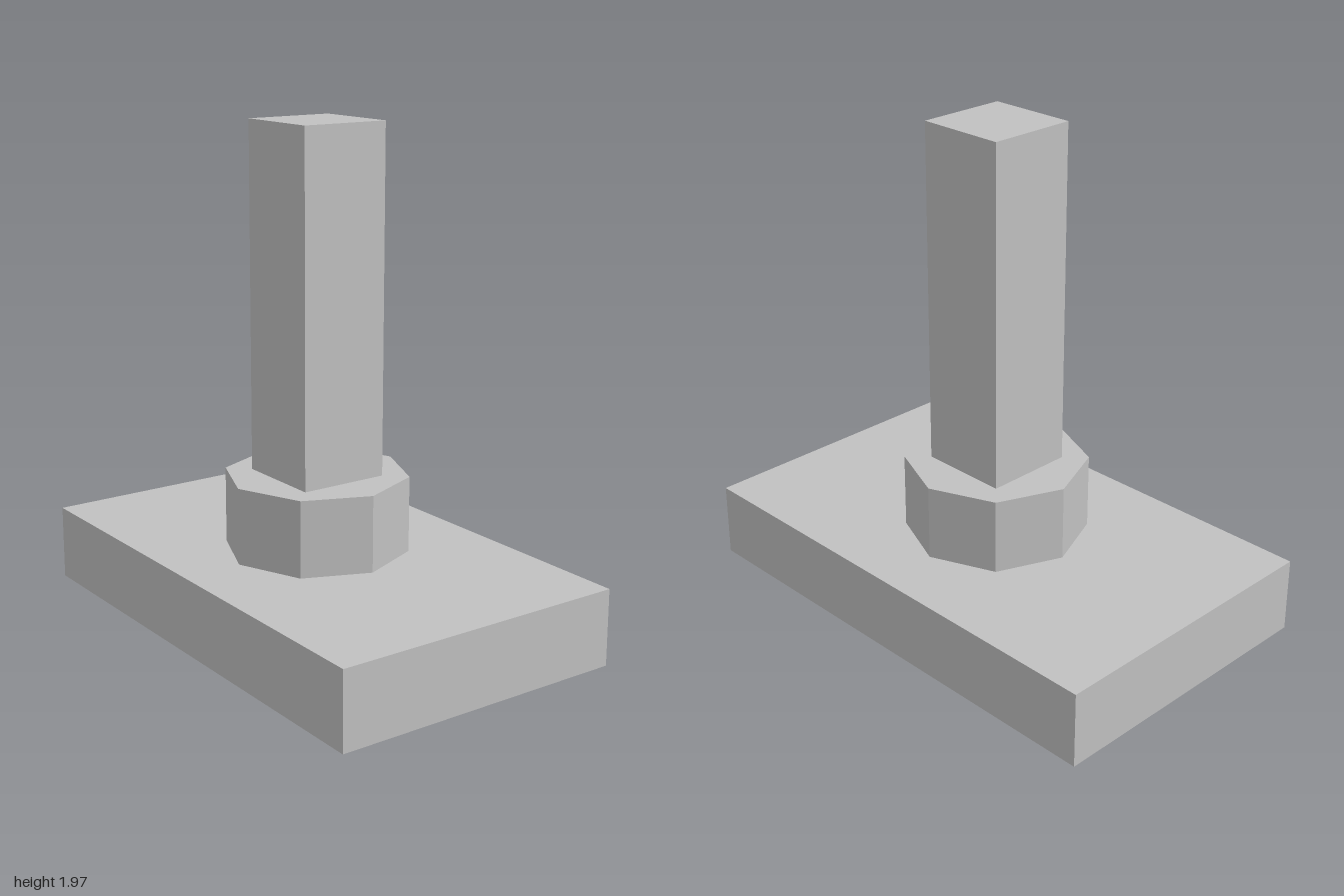
import * as THREE from 'three';

export function createModel() {
  const group = new THREE.Group();
  const grey = new THREE.MeshStandardMaterial({ color: 0xc0c0c0, flatShading: true });
  grey.name = 'grey';

  // Adds a part centred on the vertical axis, standing on the given height
  const add = (name, geometry, bottom, height) => {
    const mesh = new THREE.Mesh(geometry, grey);
    mesh.name = name;
    mesh.position.y = bottom + height / 2;
    group.add(mesh);
  };

  const unit = 2 / 33;
  const baseH = 5 * unit, collarH = 5 * unit, postH = 22.5 * unit;

  // Flat rectangular base
  add('base', new THREE.BoxGeometry(33 * unit, baseH, 20 * unit), 0, baseH);
  // Eight-sided collar with corners on the x and z axes
  add('collar', new THREE.CylinderGeometry(6 * unit, 6 * unit, collarH, 8), baseH, collarH);
  // Square post
  add('post', new THREE.BoxGeometry(6 * unit, postH, 6 * unit), baseH + collarH, postH);

  return group;
}
